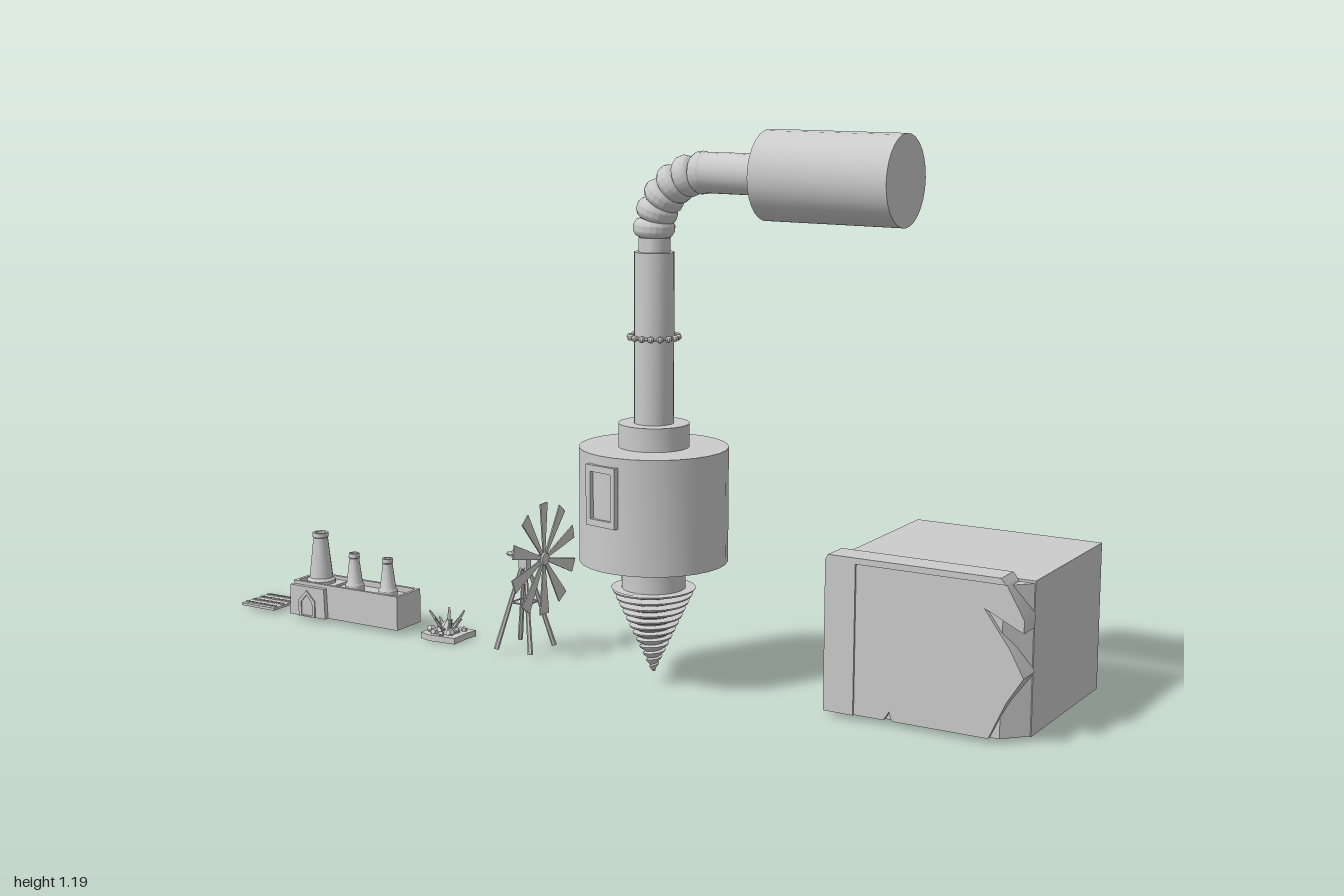
import * as THREE from 'three';
import { toCreasedNormals } from 'three/addons/utils/BufferGeometryUtils.js';

const V = (x, y, z = 0) => new THREE.Vector3(x, y, z);
const material = new THREE.MeshStandardMaterial({ color: 0xcccccc, side: THREE.DoubleSide });

function add(parent, name, geometry, x = 0, y = 0, z = 0) {
  const mesh = new THREE.Mesh(toCreasedNormals(geometry, 0.6), material);
  mesh.name = name;
  mesh.position.set(x, y, z);
  parent.add(mesh);
  return mesh;
}
function addGroup(parent, name, x = 0, y = 0, z = 0) {
  const group = new THREE.Group();
  group.name = name;
  group.position.set(x, y, z);
  parent.add(group);
  return group;
}
const box = (w, h, d) => new THREE.BoxGeometry(w, h, d);
const lathe = (points, sides = 28) =>
  new THREE.LatheGeometry(points.map(([r, y]) => new THREE.Vector2(r, y)), sides);
const shape = (points) => new THREE.Shape(points.map(([x, y]) => new THREE.Vector2(x, y)));
const extrude = (s, depth) => new THREE.ExtrudeGeometry(s, { depth, bevelEnabled: false });

// Straight rod between two points
function rod(parent, name, a, b, r0, r1 = r0, sides = 6) {
  const mesh = add(parent, name, new THREE.CylinderGeometry(r1, r0, a.distanceTo(b), sides));
  mesh.position.copy(a).lerp(b, 0.5);
  mesh.quaternion.setFromUnitVectors(V(0, 1, 0), b.clone().sub(a).normalize());
  return mesh;
}

// Cone with a helical ridge: every row of the lathe climbs one pitch per turn
function drillBit() {
  const turns = 12, height = 0.185, pitch = height / turns, rows = [];
  for (let i = -1; i < turns; i++) for (const [f, d] of [[0, 0.7], [0.55, 1], [0.8, 1]])
    rows.push([d, (i + f) * pitch]);
  rows.push([0.7, height], [0, height]);
  const geometry = lathe(rows, 32);
  const p = geometry.attributes.position, uv = geometry.attributes.uv;
  for (let i = 0; i < p.count; i++) {
    const [d, y0] = rows[i % rows.length];
    const y = THREE.MathUtils.clamp(y0 + pitch * uv.getX(i), 0, height);
    const r = d * (0.004 + 0.086 * y / height), a = uv.getX(i) * Math.PI * 2;
    p.setXYZ(i, r * Math.sin(a), y, r * Math.cos(a));
  }
  return geometry;
}

function buildDrill(root) {
  const drill = addGroup(root, 'drillTower', 0.158, 0, 0.133);
  add(drill, 'drillBit', drillBit(), 0, 0.03, 0);
  add(drill, 'bitNeck', lathe([[0, 0.213], [0.068, 0.213], [0.068, 0.255], [0.058, 0.262],
    [0.037, 0.262], [0.037, 0.34]]));
  // Body with a recess underneath and a collar on top
  add(drill, 'body', lathe([[0, 0.335], [0.085, 0.335], [0.085, 0.305], [0.118, 0.305], [0.118, 0.275],
    [0.158, 0.275], [0.158, 0.52], [0.075, 0.52], [0.075, 0.57], [0, 0.57]]));
  add(drill, 'mast', new THREE.CylinderGeometry(0.042, 0.042, 0.36, 24), 0, 0.75, 0);
  add(drill, 'mastNeck', new THREE.CylinderGeometry(0.033, 0.033, 0.04, 24), 0, 0.94, 0);

  // Hatch frame set in the front of the body
  const frame = shape([[-0.04, -0.064], [0.04, -0.064], [0.04, 0.064], [-0.04, 0.064]]);
  frame.holes.push(shape([[-0.028, -0.05], [0.028, -0.05], [0.028, 0.05], [-0.028, 0.05]]));
  const hatch = add(drill, 'hatchFrame', extrude(frame, 0.018), -0.03, 0.436, 0.143);
  hatch.rotation.y = -0.19;

  // Ring of beads around the mast
  const ring = addGroup(drill, 'beadRing', 0, 0.752, 0);
  add(ring, 'band', new THREE.TorusGeometry(0.046, 0.004, 6, 28)).rotation.x = Math.PI / 2;
  for (let i = 0; i < 16; i++) {
    const a = i * Math.PI / 8;
    add(ring, 'bead', new THREE.SphereGeometry(0.007, 8, 6), 0.051 * Math.cos(a), 0, 0.051 * Math.sin(a));
  }

  // Corrugated elbow: barrel segments along a quarter circle
  const elbow = addGroup(drill, 'elbow', 0.125, 0.972, 0);
  const R = 0.126, segments = 6;
  const barrel = [[0.03, -0.02], [0.038, -0.016], [0.044, -0.006], [0.044, 0.006], [0.038, 0.016], [0.03, 0.02]];
  for (let i = 0; i < segments; i++) {
    const a = (i + 0.2) / (segments - 0.5) * Math.PI / 2;
    add(elbow, 'elbowSegment', lathe(barrel, 20), -R * Math.cos(a), R * Math.sin(a), 0).rotation.z = -a;
  }
  rod(drill, 'armNeck', V(0.1, 1.098), V(0.13, 1.098), 0.034, 0.034, 24);
  rod(drill, 'arm', V(0.122, 1.098), V(0.265, 1.098), 0.042, 0.042, 24);
  rod(drill, 'counterweight', V(0.265, 1.098), V(0.565, 1.098), 0.092, 0.092, 28);
}

function buildBlock(root) {
  const block = addGroup(root, 'brokenBlock');
  add(block, 'blockBody', box(0.417, 0.316, 0.375), 0.7835, 0.17, -0.1075);
  // Chamfered core behind the broken front corner
  const core = shape([[0.575, -0.08], [0.99, -0.08], [0.945, -0.128], [0.575, -0.128]]);
  add(block, 'brokenCore', extrude(core, 0.31), 0, 0.013, 0).rotation.x = -Math.PI / 2;
  // Cracked front slab
  const slab = shape([[0.575, 0.013], [0.70, 0.013], [0.712, 0.032], [0.718, 0.013], [0.925, 0.013], [0.96, 0.09],
    [0.995, 0.145], [0.965, 0.2], [0.91, 0.275], [0.993, 0.235], [0.993, 0.262], [0.955, 0.328], [0.575, 0.328]]);
  add(block, 'frontSlab', extrude(slab, 0.058), 0, 0, 0.08);
  // Raised lip along the left and top edges
  const lip = shape([[0.567, 0.013], [0.634, 0.013], [0.634, 0.328], [0.955, 0.328], [0.945, 0.341], [0.573, 0.341], [0.567, 0.33]]);
  add(block, 'lip', extrude(lip, 0.063), 0, 0, 0.08);
}

function buildWindmill(root) {
  const mill = addGroup(root, 'windmill', -0.21, 0, 0.077);
  for (const sx of [-1, 1]) for (const sz of [-1, 1]) {
    rod(mill, 'leg', V(sx * 0.046, 0.013, sz * 0.048), V(sx * 0.005, 0.2, sz * 0.005), 0.006, 0.004);
    rod(mill, 'brace', V(sx * 0.022, 0.118, -0.023), V(sx * 0.022, 0.118, 0.023), 0.002);
    rod(mill, 'brace', V(-0.022, 0.118, sz * 0.023), V(0.022, 0.118, sz * 0.023), 0.002);
  }
  add(mill, 'head', box(0.022, 0.03, 0.018), 0, 0.21, 0);
  rod(mill, 'axle', V(-0.045, 0.223), V(0.053, 0.223), 0.005);
  add(mill, 'tail', extrude(shape([[-0.05, 0.223], [-0.026, 0.234], [-0.026, 0.212]]), 0.004), 0, 0, -0.002);
  // Tapered blades turning around the axle
  const rotor = addGroup(mill, 'rotor', 0.05, 0.223, 0);
  const blade = shape([[-0.004, 0.015], [0.004, 0.015], [0.016, 0.126], [-0.016, 0.126]]);
  for (let i = 0; i < 10; i++) {
    const arm = addGroup(rotor, 'bladeArm');
    arm.rotation.x = i * Math.PI / 5;
    add(arm, 'blade', extrude(blade, 0.003)).rotation.y = Math.PI / 2 + 0.08;
  }
  rod(rotor, 'hub', V(-0.004, 0), V(0.007, 0), 0.018, 0.014, 12);
}

function buildFactory(root) {
  const factory = addGroup(root, 'factory', 0, 0, 0.077);
  // Hall with a sunken roof behind a parapet
  add(factory, 'hall', box(0.305, 0.067, 0.09), -0.688, 0.0465, 0);
  for (const s of [-1, 1]) {
    add(factory, 'parapet', box(0.305, 0.014, 0.008), -0.688, 0.086, s * 0.041);
    add(factory, 'parapet', box(0.008, 0.014, 0.09), -0.688 + s * 0.1485, 0.086, 0);
  }
  // Entrance block, narrowing slightly upward
  const entry = extrude(shape([[-0.053, 0.013], [0.053, 0.013], [0.05, 0.085], [-0.05, 0.085]]), 0.104);
  add(factory, 'entrance', entry, -0.792, 0, -0.048);
  const door = shape([[-0.024, 0.013], [0.024, 0.013], [0.024, 0.052], [0, 0.076], [-0.024, 0.052]]);
  door.holes.push(shape([[-0.016, 0.016], [0.016, 0.016], [0.016, 0.048], [0, 0.066], [-0.016, 0.048]]));
  add(factory, 'doorFrame', extrude(door, 0.004), -0.792, 0, 0.055);
  // Chimneys with flared feet and hollow tops
  for (const [x, r, top] of [[-0.793, 0.031, 0.206], [-0.693, 0.021, 0.168], [-0.595, 0.021, 0.168]])
    add(factory, 'chimney', lathe([[r * 1.1, 0.078], [r * 1.1, 0.092], [r * 0.9, 0.098], [r * 0.55, top - 0.012],
      [r * 0.62, top - 0.01], [r * 0.6, top], [r * 0.4, top], [r * 0.4, top - 0.02], [0, top - 0.02]], 16), x, 0, 0);
}

function buildDebris(root) {
  let seed = 7;
  const rand = () => (seed = (seed * 16807) % 2147483647) / 2147483647;
  const pile = addGroup(root, 'debrisPile', -0.425, 0, 0.077);
  const ground = shape([[-0.05, -0.036], [-0.02, -0.046], [0.048, -0.04], [0.046, 0.01], [0.05, 0.042], [0, 0.046], [-0.044, 0.04]]);
  add(pile, 'rubbleBase', extrude(ground, 0.014), 0, 0.003, 0).rotation.x = -Math.PI / 2;
  add(pile, 'mound', new THREE.ConeGeometry(0.034, 0.034, 7), 0, 0.031, 0);
  for (let i = 0; i < 9; i++) {
    const a = i * 0.7, r = 0.018 + 0.022 * rand();
    const chunk = add(pile, 'rubble', new THREE.DodecahedronGeometry(0.007 + 0.006 * rand()),
      r * Math.cos(a), 0.02, r * Math.sin(a));
    chunk.rotation.set(rand() * 3, rand() * 3, 0);
    const tip = 0.03 + 0.014 * rand();
    rod(pile, 'splinter', V(0.012 * Math.cos(a), 0.022, 0.012 * Math.sin(a)),
      V(tip * Math.cos(a), 0.035 + 0.033 * rand(), tip * Math.sin(a)), 0.0055, 0.002, 5);
  }
}

function buildField(root) {
  // Flat plot with rows of small crops
  const field = addGroup(root, 'field', -0.95, 0, 0.075);
  add(field, 'plot', box(0.1, 0.006, 0.104), 0, 0.013, 0);
  for (let row = 0; row < 4; row++) for (let i = 0; i < 8; i++)
    add(field, 'crop', box(0.008, 0.004, 0.006), -0.042 + i * 0.012, 0.017, -0.039 + row * 0.026);
}

export function createModel() {
  const root = new THREE.Group();
  root.name = 'drillSiteSet';
  for (const build of [buildDrill, buildBlock, buildWindmill, buildFactory, buildDebris, buildField]) build(root);
  return root;
}
